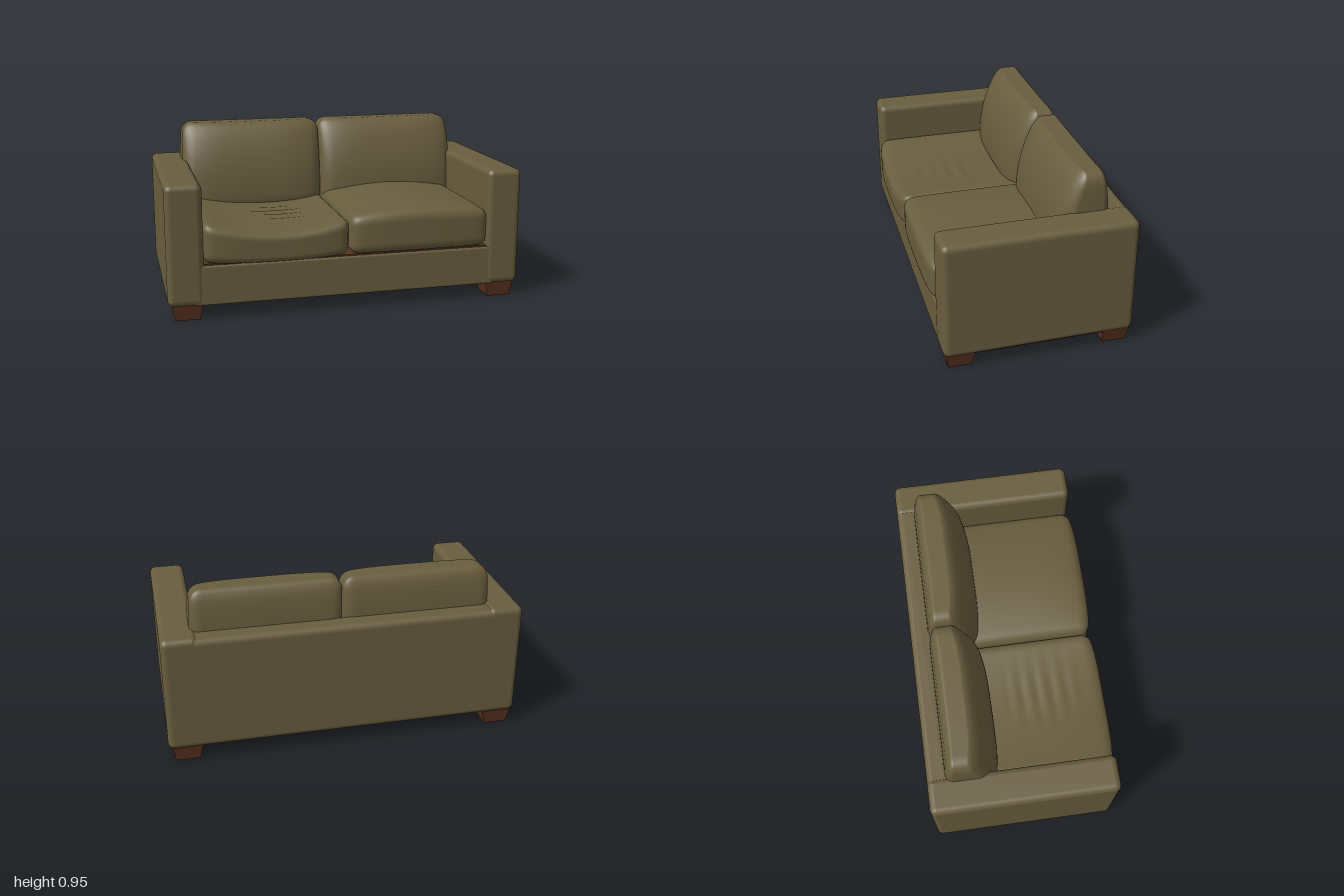
import * as THREE from 'three';
import { mergeVertices } from 'three/addons/utils/BufferGeometryUtils.js';
import { RoundedBoxGeometry } from 'three/addons/geometries/RoundedBoxGeometry.js';

const fabric = new THREE.MeshStandardMaterial({ color: 0x685d3e });
fabric.name = 'oliveFabric';
const wood = new THREE.MeshStandardMaterial({ color: 0x57301f });
wood.name = 'brownWood';

// Finely divided box with rounded edges, then shaped by rule(point, u),
// where u is the sideways position from -1 to 1
function softBox([x0, x1], [y0, y1], [z0, z1], r, rule) {
  const size = new THREE.Vector3(x1 - x0, y1 - y0, z1 - z0);
  const centre = new THREE.Vector3(x0 + x1, y0 + y1, z0 + z1).multiplyScalar(0.5);
  let geo = new THREE.BoxGeometry(size.x, size.y, size.z, 44, 18, 40);
  geo.deleteAttribute('uv');
  geo.deleteAttribute('normal');
  geo = mergeVertices(geo, 1e-5);
  const inner = size.clone().multiplyScalar(0.5).subScalar(r);
  const p = new THREE.Vector3(), core = new THREE.Vector3();
  const pos = geo.attributes.position;
  for (let i = 0; i < pos.count; i++) {
    p.fromBufferAttribute(pos, i);
    core.copy(p).clamp(inner.clone().negate(), inner);
    p.sub(core);
    if (p.length() > 0) p.setLength(r);
    p.add(core);
    const u = p.x / (size.x / 2);
    p.add(centre);
    rule(p, u);
    pos.setXYZ(i, p.x, p.y, p.z);
  }
  geo.computeVertexNormals();
  return geo;
}

export function createModel() {
  const sofa = new THREE.Group();
  sofa.name = 'sofa';

  function add(name, geo, mat) {
    const mesh = new THREE.Mesh(geo, mat);
    mesh.name = name;
    sofa.add(mesh);
    return mesh;
  }
  function block(name, [x0, x1], [y0, y1], [z0, z1], r, mat = fabric) {
    const size = [x1 - x0, y1 - y0, z1 - z0];
    const geo = r ? new RoundedBoxGeometry(...size, 4, r) : new THREE.BoxGeometry(...size);
    add(name, geo, mat).position.set((x0 + x1) / 2, (y0 + y1) / 2, (z0 + z1) / 2);
  }

  // Upholstered frame
  block('base', [-0.85, 0.85], [0.08, 0.3], [-0.5, 0.497], 0.012);
  block('backPanel', [-0.995, 0.995], [0.08, 0.735], [-0.532, -0.4], 0.035);
  block('rightArm', [-0.995, -0.797], [0.08, 0.742], [-0.532, 0.502], 0.035);
  block('leftArm', [0.797, 0.995], [0.08, 0.742], [-0.532, 0.502], 0.035);

  // Wooden deck showing as a sliver below the seat cushions
  block('seatDeck', [-0.8, 0.8], [0.29, 0.308], [-0.42, 0.485], 0, wood);

  // Tapered legs, joined by a flat runner under each arm
  const legGeo = new THREE.BoxGeometry(0.166, 0.085, 0.152);
  const legPos = legGeo.attributes.position;
  for (let i = 0; i < legPos.count; i++) {
    if (legPos.getY(i) < 0) legPos.setXYZ(i, legPos.getX(i) * 0.8, legPos.getY(i), legPos.getZ(i) * 0.87);
  }
  legGeo.computeVertexNormals();
  for (const [side, s] of [['right', -1], ['left', 1]]) {
    add(side + 'FrontLeg', legGeo, wood).position.set(s * 0.891, 0.0425, 0.408);
    add(side + 'BackLeg', legGeo, wood).position.set(s * 0.891, 0.0425, -0.443);
    block(side + 'Runner', [s * 0.891 - 0.08, s * 0.891 + 0.08], [0.076, 0.084], [-0.4, 0.4], 0, wood);
  }

  // Back cushions: wedge profile, thick at the seat and narrow at the top
  const backRule = (p, u) => {
    const t = Math.min(1, Math.max(0, (p.y - 0.46) / 0.49));
    const front = -0.125 - 0.12 * t ** 2.5 - 0.045 * u ** 4;
    const rear = -0.435 + 0.035 * t ** 4;
    p.z = THREE.MathUtils.lerp(rear, front, p.z / 0.3);
    p.x *= 1 - 0.025 * t ** 3 * Math.abs(p.x);
  };
  add('rightBackCushion', softBox([-0.835, -0.002], [0.44, 0.952], [0, 0.3], 0.062, backRule), fabric);
  add('leftBackCushion', softBox([0.002, 0.835], [0.44, 0.952], [0, 0.3], 0.062, backRule), fabric);

  // Plump seat cushion with a crowned top and bowed front
  add('leftSeatCushion', softBox([0.002, 0.803], [0.308, 0.52], [-0.35, 0.505], 0.05, (p, u) => {
    const h = Math.max(0, (p.y - 0.308) / 0.212);
    const v = (p.z - 0.08) / 0.43;
    p.y += h * 0.052 * (1 - u * u) * (1 - 0.5 * v ** 4);
    if (p.z > 0) p.z += 0.026 * (1 - u ** 4) * (p.z / 0.505) ** 2;
  }), fabric);

  // Worn seat cushion: sagging middle, drooping front and creases
  add('rightSeatCushion', softBox([-0.803, -0.002], [0.31, 0.525], [-0.35, 0.505], 0.05, (p, u) => {
    const h = Math.max(0, (p.y - 0.31) / 0.215);
    const ahead = Math.max(0, p.z / 0.505);
    const dip = 1 - u * u;
    const crease = Math.exp(-(((p.x + 0.33) / 0.16) ** 2)) * Math.exp(-(((p.z - 0.18) / 0.2) ** 4));
    p.y += h * (-0.012 * u - dip * (0.042 + 0.02 * ahead ** 3) + 0.004 * crease * Math.sin(p.z * 75));
    p.y -= (1 - h) * 0.014 * dip * ahead ** 4;
    p.z += 0.03 * (1 - u ** 4) * ahead ** 2;
  }), fabric);

  return sofa;
}
